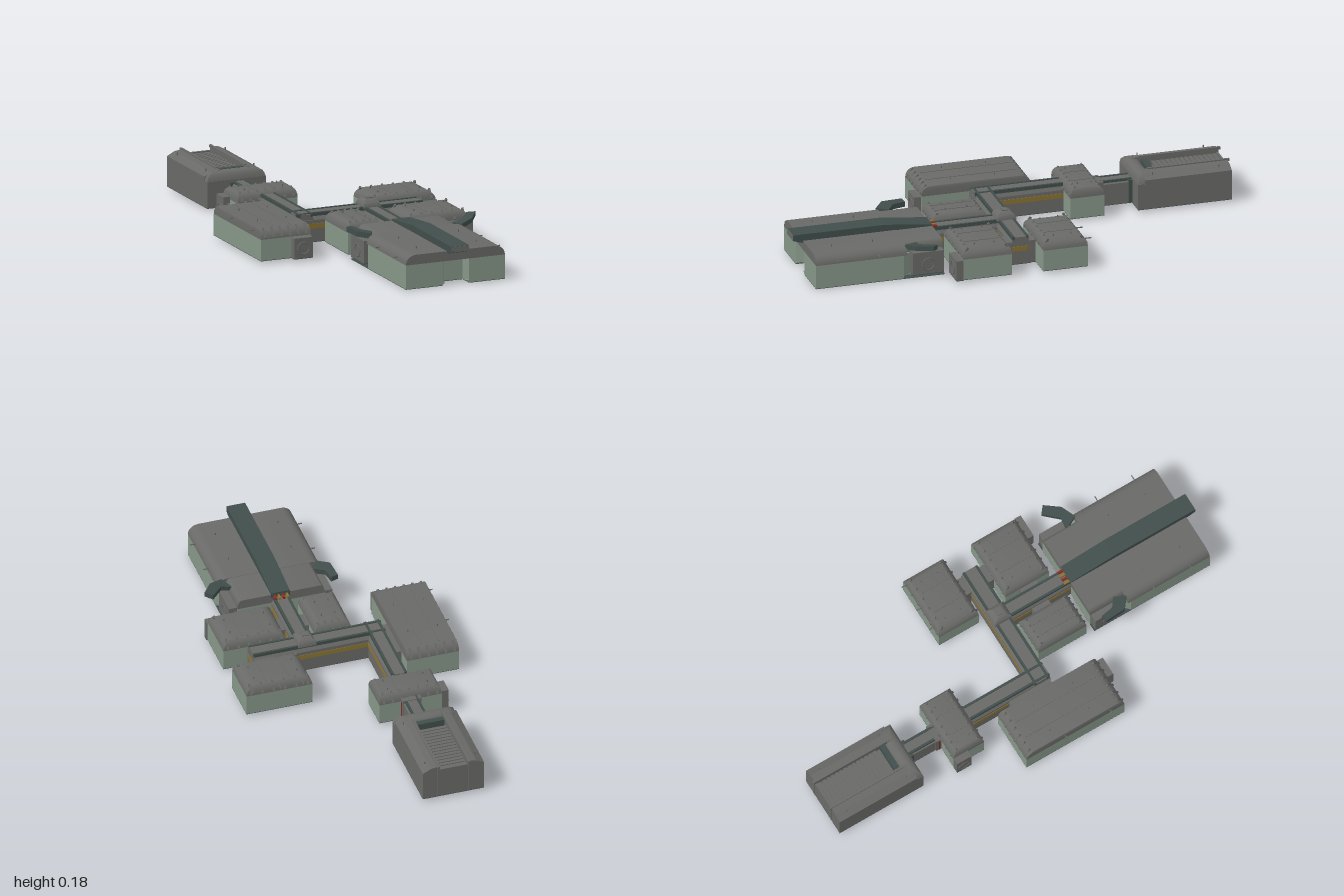
import * as THREE from 'three';
import { toCreasedNormals } from 'three/addons/utils/BufferGeometryUtils.js';

const material = (name, color) => Object.assign(new THREE.MeshStandardMaterial({ color }), { name });

export function createModel() {
  const root = new THREE.Group();
  root.name = 'modularBase';
  const green = material('pale green wall', 0x869788);
  const grey = material('grey panel', 0x696a67);
  const teal = material('dark green metal', 0x414e4b);
  const gold = material('ochre stripe', 0x8a7230);
  const red = material('red light', 0x8f2a22);

  const add = (name, geo, mat) => {
    const mesh = new THREE.Mesh(geo, mat);
    mesh.name = name;
    root.add(mesh);
    return mesh;
  };
  const box = (name, mat, x0, x1, y0, y1, z0, z1) =>
    add(name, new THREE.BoxGeometry(x1 - x0, y1 - y0, z1 - z0)
      .translate((x0 + x1) / 2, (y0 + y1) / 2, (z0 + z1) / 2), mat);
  const shape = pts => new THREE.Shape(pts.map(p => new THREE.Vector2(...p)));

  // Block standing on a thin dark base plate
  const block = (name, mat, x0, x1, y1, z0, z1) => {
    box(name, mat, x0, x1, 0.012, y1, z0, z1);
    box(name + 'Base', teal, x0, x1, 0.01, 0.012, z0, z1);
  };

  // Outline in x,z raised from y0 to y1
  const plan = (name, mat, pts, y0, y1) =>
    add(name, new THREE.ExtrudeGeometry(shape(pts), { depth: y1 - y0, bevelEnabled: false })
      .rotateX(Math.PI / 2).translate(0, y1, 0), mat);
  // Outline in x,y run from z0 to z1
  const section = (name, mat, pts, z0, z1) =>
    add(name, new THREE.ExtrudeGeometry(shape(pts), { depth: z1 - z0, bevelEnabled: false })
      .translate(0, 0, z0), mat);

  // Roof whose edges curve inward by rx and rz
  const roof = (name, x0, x1, z0, z1, y0, y1, rx, rz, steps = 5) => {
    const pos = [];
    const ring = k => {
      const t = k / steps * Math.PI / 2, c = 1 - Math.cos(t), y = y0 + (y1 - y0) * Math.sin(t);
      const a = x0 + rx * c, b = x1 - rx * c, d = z0 + rz * c, e = z1 - rz * c;
      return [[a, y, e], [b, y, e], [b, y, d], [a, y, d]];
    };
    const quad = (a, b, c, d) => pos.push(...a, ...b, ...c, ...a, ...c, ...d);
    for (let k = 0; k < steps; k++) {
      const lo = ring(k), hi = ring(k + 1);
      for (let i = 0; i < 4; i++) quad(lo[i], lo[(i + 1) % 4], hi[(i + 1) % 4], hi[i]);
    }
    quad(...ring(steps));
    const geo = new THREE.BufferGeometry();
    geo.setAttribute('position', new THREE.Float32BufferAttribute(pos, 3));
    return add(name, toCreasedNormals(geo, 0.6), grey);
  };

  // Habitat module: pale walls, curved roof, roof seams, ribs and short masts
  const habitat = (name, x0, x1, z0, z1, rx, rz, ribs) => {
    const top = 0.145;
    block(name + 'Walls', green, x0, x1, 0.103, z0, z1);
    roof(name + 'Roof', x0, x1, z0, z1, 0.103, top, rx, rz);
    for (const f of [0.33, 0.67]) {
      const x = x0 + (x1 - x0) * f;
      box(name + 'Seam', grey, x - 0.002, x + 0.002, top - 0.002, top + 0.002, z0 + rz, z1 - rz);
    }
    for (let i = 0; i < ribs; i++) {
      const x = x0 + 0.02 + (x1 - x0 - 0.04) * i / (ribs - 1);
      for (const [z, s] of [[z0, 1], [z1, -1]]) {
        const rib = box(name + 'Rib', grey, -0.004, 0.004, -0.004, 0.006, -0.024, 0.024);
        rib.position.set(x, 0.126, z + s * 0.014);
        rib.rotation.x = -s * 0.95;
      }
    }
    for (const x of [x0 + 0.05, x1 - 0.05])
      for (const f of [0.3, 0.7]) {
        const z = z0 + (z1 - z0) * f;
        box(name + 'Antenna', grey, x - 0.002, x + 0.002, top, top + 0.009, z - 0.002, z + 0.002);
      }
  };
  habitat('sideHabitat', -0.47, -0.24, -0.17, 0.31, 0.004, 0.04, 6);
  habitat('rearHabitat', -0.31, -0.035, -0.43, -0.28, 0.02, 0.03, 7);
  habitat('innerHabitat', -0.09, 0.07, 0.12, 0.355, 0.03, 0.03, 5);
  habitat('frontHabitat', 0.195, 0.47, 0.13, 0.345, 0.05, 0.03, 6);
  habitat('eastHabitat', 0.185, 0.475, -0.2, -0.005, 0.05, 0.03, 6);
  for (const z of [0.02, 0.24])
    box('sideHabitatMast', grey, -0.485, -0.46, 0.128, 0.132, z - 0.002, z + 0.002);
  for (const x of [0.23, 0.33, 0.45])
    box('eastHabitatMast', grey, x - 0.002, x + 0.002, 0.125, 0.129, -0.222, -0.18);

  // Airlocks with a round hatch
  const hatch = (x, z, turn) => {
    const m = add('hatchRing', new THREE.TorusGeometry(0.026, 0.003, 6, 20), grey);
    m.position.set(x, 0.055, z);
    m.rotation.y = turn;
  };
  block('sideAirlock', grey, -0.33, -0.245, 0.1, 0.31, 0.34);
  hatch(-0.288, 0.34, 0);
  block('frontAirlock', grey, 0.37, 0.475, 0.1, 0.345, 0.375);
  hatch(0.422, 0.375, 0);
  block('rearAirlock', grey, -0.34, -0.31, 0.115, -0.43, -0.36);
  hatch(-0.34, -0.395, Math.PI / 2);

  // Corridors with chamfered tops, dark shoulder rails and dark base
  const corridor = (name, alongX, c, a, b, half = 0.04, top = 0.132) => {
    const pts = [[-half, 0.012], [half, 0.012], [half, 0.105], [half * 0.6, top], [-half * 0.6, top], [-half, 0.105]];
    const parts = [section(name, grey, pts, a, b), box(name + 'Base', teal, -half, half, 0.01, 0.012, a, b)];
    for (const s of [-1, 1])
      parts.push(box(name + 'Rail', teal, s * half * 0.7 - 0.005, s * half * 0.7 + 0.005, top - 0.012, top + 0.003, a, b));
    for (const m of parts) {
      if (alongX) { m.rotation.y = Math.PI / 2; m.position.z = c; } else m.position.x = c;
    }
  };
  corridor('westCorridor', false, -0.172, -0.28, 0.105);
  corridor('crossCorridor', true, 0.063, -0.21, 0.37, 0.043);
  corridor('spineCorridor', false, 0.135, 0.06, 0.4);
  corridor('dockCorridor', false, -0.17, -0.59, -0.42, 0.036, 0.117);
  box('rearCollar', grey, -0.212, -0.13, 0.012, 0.12, -0.455, -0.43);
  box('rearWarningStripe', red, -0.214, -0.128, 0.014, 0.105, -0.442, -0.435);
  box('dockCollar', teal, -0.212, -0.13, 0.012, 0.115, -0.585, -0.565);

  // Short links between corridors and modules
  block('sideLink', grey, -0.245, -0.2, 0.105, -0.1, 0.1);
  block('innerLink', grey, 0.065, 0.1, 0.1, 0.2, 0.28);
  block('frontLink', grey, 0.17, 0.2, 0.1, 0.2, 0.28);
  block('eastLink', grey, 0.285, 0.365, 0.11, -0.01, 0.135);

  // Junction dome over the crossing
  roof('junctionDome', 0.095, 0.175, 0.02, 0.106, 0.13, 0.165, 0.03, 0.035);
  box('junctionCap', grey, 0.12, 0.15, 0.163, 0.168, 0.05, 0.076);

  // Ochre stripes running along every corridor face
  const stripe = (x0, x1, z0, z1) => box('corridorStripe', gold, x0, x1, 0.07, 0.09, z0, z1);
  stripe(-0.205, 0.095, 0.104, 0.108);
  stripe(0.175, 0.37, 0.104, 0.108);
  stripe(-0.13, 0.37, 0.018, 0.022);
  stripe(0.368, 0.372, 0.032, 0.098);
  for (const x of [-0.212, -0.132]) stripe(x - 0.002, x + 0.002, -0.28, 0.02);
  for (const x of [0.095, 0.175]) stripe(x - 0.002, x + 0.002, 0.106, 0.39);

  // Main hall: wide front bays with a recessed centre and a narrower rear
  plan('hallWalls', green, [[-0.06, 0.39], [0.325, 0.39], [0.325, 0.53], [0.36, 0.57], [0.36, 0.955], [0.195, 0.955],
    [0.178, 0.925], [0.092, 0.925], [0.075, 0.955], [-0.095, 0.955], [-0.095, 0.57], [-0.06, 0.53]], 0.012, 0.105);
  box('hallKeel', teal, 0.07, 0.2, 0.01, 0.012, 0.39, 0.925);
  for (const [x0, x1, l, r] of [[-0.095, 0.072, 0, 0.015], [0.195, 0.36, 0.015, 0]]) {
    section('hallPlinth', green, [[x0, 0.002], [x1, 0.002], [x1 + r, 0.013], [x0 - l, 0.013]], 0.57, 0.955);
    section('hallPlinthRear', green, [[Math.max(x0, -0.06), 0.002], [Math.min(x1, 0.325), 0.002],
      [Math.min(x1 + r, 0.325), 0.013], [Math.max(x0 - l, -0.06), 0.013]], 0.39, 0.57);
    box('hallUnderside', teal, x0, x1, 0, 0.002, 0.39, 0.955);
  }
  roof('hallRoof', -0.095, 0.36, 0.555, 0.955, 0.105, 0.147, 0.045, 0);
  roof('hallRoofRear', -0.06, 0.325, 0.39, 0.56, 0.105, 0.146, 0.02, 0);
  for (const z of [0.68, 0.86])
    for (const x of [-0.095, 0.36]) {
      box('hallMast', grey, x - 0.015, x + 0.02, 0.118, 0.122, z - 0.002, z + 0.002);
      const inner = x < 0 ? x + 0.09 : x - 0.09;
      box('hallAntenna', grey, inner - 0.002, inner + 0.002, 0.147, 0.157, z - 0.002, z + 0.002);
    }

  // Grey airlocks set into the hall's rear corners
  for (const [x0, x1, face] of [[-0.095, -0.05, -0.095], [0.315, 0.36, 0.36]]) {
    block('hallAirlock', grey, x0, x1, 0.11, 0.395, 0.53);
    hatch(face, 0.462, Math.PI / 2);
  }

  // Roof beam, tapering down toward the spine corridor
  const beam = section('roofBeam', teal,
    [[-0.998, 0.15], [-0.998, 0.176], [-0.6, 0.176], [-0.39, 0.153], [-0.39, 0.125], [-0.55, 0.125], [-0.95, 0.135]], -0.041, 0.041);
  beam.rotation.y = Math.PI / 2;
  beam.position.x = 0.135;
  box('beamNose', grey, 0.095, 0.175, 0.151, 0.175, 0.997, 1);
  for (let i = 0; i < 4; i++)
    box('beamLight', i % 2 ? red : gold, 0.103 + i * 0.018, 0.113 + i * 0.018, 0.128, 0.142, 0.365, 0.392);

  // Loader arms at the hall's rear corners, rising outward
  const arm = (name, pts, pivot, slope, y0, y1) => {
    const mesh = plan(name, teal, pts, y0, y1), p = mesh.geometry.attributes.position;
    for (let i = 0; i < p.count; i++) p.setY(i, p.getY(i) + slope * (p.getX(i) - pivot));
    mesh.geometry.computeVertexNormals();
  };
  arm('leftArm', [[0.31, 0.5], [0.36, 0.505], [0.415, 0.44], [0.445, 0.465], [0.4, 0.53], [0.34, 0.56]], 0.34, 0.2, 0.126, 0.146);
  arm('rightArm', [[-0.05, 0.51], [-0.09, 0.48], [-0.1, 0.425], [-0.13, 0.43], [-0.125, 0.52], [-0.075, 0.56]], -0.06, -0.12, 0.123, 0.146);

  // Rear dock: grey walls and sloped shoulders around a sunken ladder bay
  const dx = -0.18, hw = 0.135, bay = 0.062;
  block('dockWalls', grey, dx - hw, dx + hw, 0.125, -0.99, -0.58);
  for (const s of [-1, 1]) {
    section('dockShoulder', grey,
      [[dx + s * hw, 0.12], [dx + s * hw, 0.142], [dx + s * 0.1, 0.16], [dx + s * bay, 0.165], [dx + s * bay, 0.12]], -0.99, -0.61);
    box('dockRail', grey, dx + s * 0.067 - 0.005, dx + s * 0.067 + 0.005, 0.158, 0.169, -1, -0.64);
    box('dockPost', grey, dx + s * 0.067 - 0.003, dx + s * 0.067 + 0.003, 0.02, 0.16, -0.993, -0.985);
    for (const z of [-0.94, -0.65])
      box('dockMast', grey, dx + s * 0.11 - 0.002, dx + s * 0.11 + 0.002, 0.15, 0.166, z - 0.002, z + 0.002);
  }
  roof('dockNose', dx - hw, dx + hw, -0.65, -0.58, 0.12, 0.163, 0.05, 0.03, 3);
  box('dockLip', grey, dx - bay, dx + bay, 0.12, 0.148, -0.99, -0.98);
  box('bayHead', teal, dx - bay, dx + bay, 0.12, 0.156, -0.675, -0.65);
  for (let i = 0; i < 14; i++) {
    const z = -0.97 + i * 0.0205;
    box('bayRung', grey, dx - bay, dx + bay, 0.138, 0.143, z - 0.008, z + 0.008);
  }
  return root;
}
